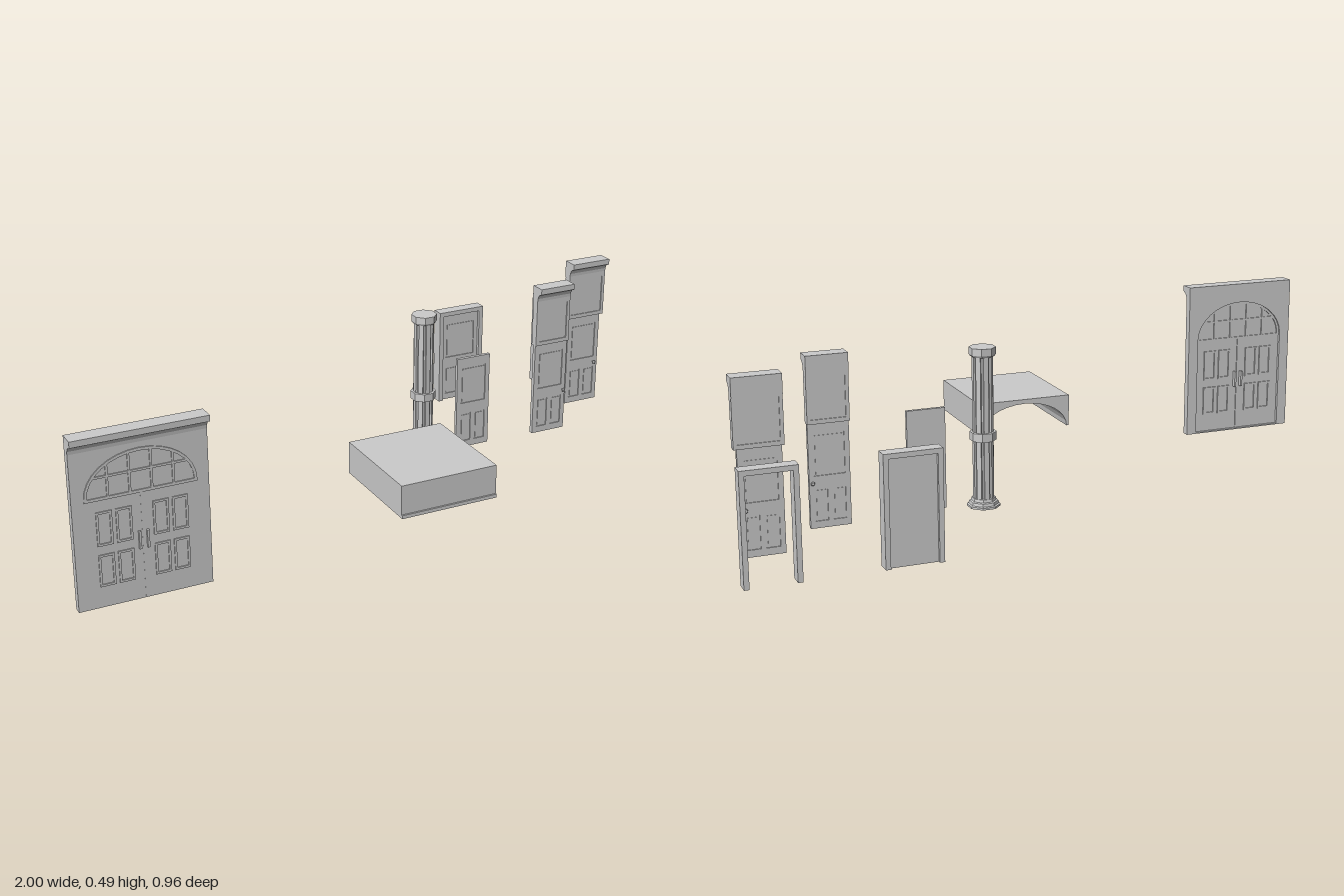
import * as THREE from 'three';

const mat = new THREE.MeshStandardMaterial({ color: 0xcccccc, flatShading: true, side: THREE.DoubleSide });

function add(parent, name, geo) {
  const m = new THREE.Mesh(geo, mat);
  m.name = name;
  parent.add(m);
  return m;
}

function group(parent, name) {
  const g = new THREE.Group();
  g.name = name;
  parent.add(g);
  return g;
}

// Box given by its limits
function box(parent, name, x0, x1, y0, y1, z0, z1) {
  const geo = new THREE.BoxGeometry(x1 - x0, y1 - y0, z1 - z0);
  geo.translate((x0 + x1) / 2, (y0 + y1) / 2, (z0 + z1) / 2);
  return add(parent, name, geo);
}

const poly = pts => new THREE.Shape(pts.map(p => new THREE.Vector2(p[0], p[1])));
const rect = (x0, x1, y0, y1) => poly([[x0, y0], [x1, y0], [x1, y1], [x0, y1]]);

// Flat plate with openings, between two depths
function plate(parent, name, shape, holes, z0, z1) {
  shape.holes = holes;
  const geo = new THREE.ExtrudeGeometry(shape, { depth: z1 - z0, bevelEnabled: false, curveSegments: 16 });
  geo.translate(0, 0, z0);
  return add(parent, name, geo);
}

// Side profile of [z, y] points swept along x
function sweepX(parent, name, pts, x0, x1) {
  const geo = new THREE.ExtrudeGeometry(poly(pts), { depth: x1 - x0, bevelEnabled: false });
  geo.rotateY(-Math.PI / 2);
  geo.translate(x1, 0, 0);
  return add(parent, name, geo);
}

// Upper wall strip with a coved cornice; zb is the back, zf the wall front
function cornice(parent, x0, x1, zb, zf, out) {
  const pts = [[zb, 0.43], [zf, 0.43], [zf, 0.44]];
  for (let i = 1; i <= 4; i++) {
    const a = i / 4 * Math.PI / 2;
    pts.push([zf + out * 0.75 * (1 - Math.cos(a)), 0.44 + 0.025 * Math.sin(a)]);
  }
  pts.push([zf + out, 0.468], [zf + out, 0.485], [zb, 0.485]);
  sweepX(parent, 'cornice', pts, x0, x1);
}

// Leaf with one tall panel over two short ones
function panelDoor(parent, x0, x1, y0, y1, z0, z1, bothSides) {
  const g = group(parent, 'doorLeaf'), d = 0.003, h = y1 - y0, m = (x0 + x1) / 2;
  const panels = [
    [x0 + 0.014, x1 - 0.014, y0 + h * 0.5, y1 - 0.03],
    [x0 + 0.014, m - 0.007, y0 + 0.02, y0 + h * 0.38],
    [m + 0.007, x1 - 0.014, y0 + 0.02, y0 + h * 0.38]];
  const faces = bothSides ? [[z1 - d, z1], [z0, z0 + d]] : [[z1 - d, z1]];
  box(g, 'core', x0, x1, y0, y1, bothSides ? z0 + d : z0, z1 - d);
  for (const [a, b] of faces) {
    plate(g, 'stilesAndRails', rect(x0, x1, y0, y1), panels.map(p => rect(...p)), a, b);
    for (const [px0, px1, py0, py1] of panels) {
      box(g, 'raisedPanel', px0 + 0.005, px1 - 0.005, py0 + 0.005, py1 - 0.005, a, (a + b) / 2 + (b === z1 ? 0.0005 : 0));
    }
  }
}

function knobs(parent, x, y, zc, reach) {
  for (const s of [-1, 1]) {
    const stem = add(parent, 'knobStem', new THREE.CylinderGeometry(0.003, 0.003, reach, 8).rotateX(Math.PI / 2));
    stem.position.set(x, y, zc + s * reach / 2);
    const knob = add(parent, 'knob', new THREE.SphereGeometry(0.006, 8, 6).scale(1, 1, 0.7));
    knob.position.set(x, y, zc + s * (reach - 0.004));
  }
}

// Open frame of two jambs and a head
function doorFrame(parent, x0, x1, y1, z0, z1) {
  const t = 0.014;
  plate(parent, 'frame', poly([[x0, 0], [x0 + t, 0], [x0 + t, y1 - t], [x1 - t, y1 - t],
    [x1 - t, 0], [x1, 0], [x1, y1], [x0, y1]]), [], z0, z1);
}

// Arched outline standing on y0: straight sides, then a half ellipse
function arch(cx, hw, y0, spring, rise) {
  const pts = [[cx - hw, y0], [cx + hw, y0]];
  for (let i = 0; i <= 16; i++) {
    const a = i / 16 * Math.PI;
    pts.push([cx + hw * Math.cos(a), spring + rise * Math.sin(a)]);
  }
  return poly(pts);
}

// Double entrance with an arched transom
function entrance(parent) {
  const g = group(parent, 'entrance'), x0 = -1, x1 = -0.635, cx = -0.8175, hw = 0.15;
  box(g, 'wallFace', x0, x1, 0, 0.44, 0.334, 0.348);
  plate(g, 'archedSurround', poly([[x0, 0], [x1, 0], [x1, 0.44], [x0, 0.44]]),
    [arch(cx, hw, 0.004, 0.31, 0.115)], 0.325, 0.334);
  cornice(g, x0, x1, 0.325, 0.348, 0.024);
  for (const [a, b] of [[0.348, 0.351], [0.33, 0.334]]) {
    // Panes of both leaves
    for (const s of [-1, 1]) {
      for (const c of [0.049, 0.101]) {
        for (const [py0, py1] of [[0.06, 0.15], [0.175, 0.27]]) {
          const px = cx + s * c, w = 0.021;
          plate(g, 'paneFrame', rect(px - w, px + w, py0, py1),
            [rect(px - w + 0.006, px + w - 0.006, py0 + 0.006, py1 - 0.006)], a, b);
        }
      }
    }
    // Transom rim and glazing bars
    plate(g, 'transomRim', arch(cx, hw, 0.302, 0.31, 0.115), [arch(cx, hw - 0.008, 0.31, 0.312, 0.105)], a, b);
    for (let i = -2; i <= 1; i++) {
      const x = (i + 0.5) * 0.058;
      const top = 0.312 + 0.107 * Math.sqrt(1 - (x / hw) ** 2);
      box(g, 'glazingBar', cx + x - 0.003, cx + x + 0.003, 0.308, top, a, b);
    }
    box(g, 'glazingRail', cx - 0.125, cx + 0.125, 0.362, 0.368, a, b);
  }
  box(g, 'meetingStile', cx - 0.003, cx + 0.003, 0.004, 0.302, 0.331, 0.3485);
  for (const s of [-1, 1]) {
    box(g, 'pullHandle', cx + s * 0.011 - 0.003, cx + s * 0.011 + 0.003, 0.145, 0.195, 0.321, 0.355);
  }
}

// Porch roof hollowed by a vault that opens to the back
function canopy(parent) {
  const g = group(parent, 'canopy'), w = 0.145, pts = [[-w, 0.225], [-w, 0.13]];
  for (let i = 0; i <= 16; i++) {
    const a = Math.PI * (1 - i / 16);
    pts.push([0.138 * Math.cos(a), 0.13 + 0.082 * Math.sin(a)]);
  }
  pts.push([w, 0.13], [w, 0.225]);
  plate(g, 'vaultedRoof', poly(pts), [], 0.16, 0.468);
  box(g, 'frontWall', -w, w, 0.13, 0.225, 0.468, 0.475);
  box(g, 'frontTrim', -w, w, 0.13, 0.14, 0.475, 0.48);
}

// Eight-sided column with a ribbed shaft
function column(parent) {
  const g = group(parent, 'column');
  g.position.set(0.225, 0, -0.09);
  const turned = (name, pts) => add(g, name,
    new THREE.LatheGeometry(pts.map(p => new THREE.Vector2(p[0], p[1])), 8, Math.PI / 8));
  turned('base', [[0, 0], [0.048, 0], [0.048, 0.006], [0.043, 0.008], [0.041, 0.016],
    [0.036, 0.018], [0.034, 0.026], [0, 0.026]]);
  turned('middleRing', [[0, 0.195], [0.038, 0.195], [0.038, 0.219], [0, 0.219]]);
  turned('capital', [[0, 0.436], [0.034, 0.436], [0.038, 0.442], [0.038, 0.462], [0, 0.462]]);
  const star = [];
  for (let i = 0; i < 8; i++) {
    for (const [off, r] of [[-0.24, 0.03], [0.24, 0.03], [0.3, 0.025], [0.485, 0.025]]) {
      const a = i / 8 * Math.PI * 2 + off;
      star.push([r * Math.cos(a), r * Math.sin(a)]);
    }
  }
  const shaft = new THREE.ExtrudeGeometry(poly(star), { depth: 0.42, bevelEnabled: false });
  add(g, 'shaft', shaft.rotateX(-Math.PI / 2).translate(0, 0.02, 0));
}

// Door below a wall strip with a panel and cornice
function tallDoor(parent, x0, x1, dx0, dx1, knobX, z) {
  const g = group(parent, 'tallDoor'), zb = z - 0.011, zf = z + 0.013;
  panelDoor(g, dx0, dx1, 0, 0.297, z - 0.006, z + 0.007, true);
  knobs(g, knobX, 0.13, z, 0.018);
  box(g, 'overdoorCore', x0, x1, 0.295, 0.435, zb + 0.003, zf - 0.003);
  for (const [a, b] of [[zf - 0.003, zf], [zb, zb + 0.003]]) {
    plate(g, 'overdoorFrame', rect(x0, x1, 0.295, 0.435), [rect(x0 + 0.01, x1 - 0.01, 0.307, 0.424)], a, b);
  }
  cornice(g, x0, x1, z - 0.014, zf, 0.02);
}

export function createModel() {
  const model = new THREE.Group();
  model.name = 'doorAndPorchKit';
  entrance(model);
  canopy(model);
  column(model);

  // Loose leaf
  panelDoor(group(model, 'looseDoor'), 0.337, 0.449, 0.008, 0.3, -0.092, -0.081, false);

  tallDoor(model, 0.613, 0.731, 0.615, 0.73, 0.722, -0.094);
  tallDoor(model, 0.831, 0.964, 0.837, 0.955, 0.94, -0.25);

  // Leaf hung in its frame
  const framed = group(model, 'framedDoor');
  doorFrame(framed, 0.477, 0.636, 0.307, -0.48, -0.442);
  panelDoor(framed, 0.491, 0.622, 0, 0.293, -0.471, -0.452, false);

  // Empty frame
  doorFrame(group(model, 'emptyFrame'), 0.85, 1, 0.307, -0.48, -0.442);
  return model;
}
